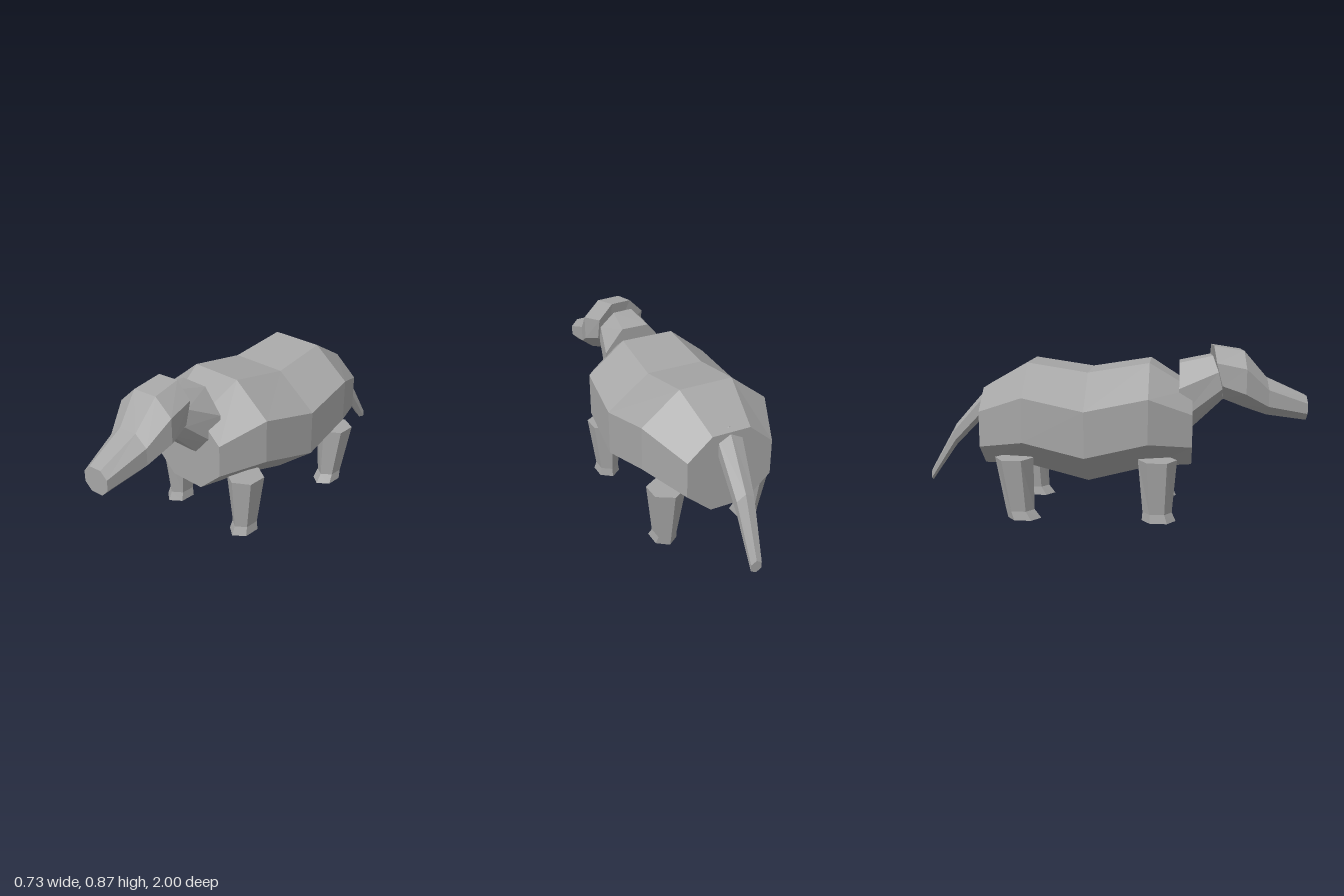
import * as THREE from 'three';

const hide = new THREE.MeshStandardMaterial({ color: 0xa6a6a6, flatShading: true });
hide.name = 'grey hide';

// Skin between closed rings, first ring facing outward, with flat caps at both ends
function loft(name, rings) {
  const pos = [];
  const tri = (a, b, c) => pos.push(...a, ...b, ...c);
  const n = rings[0].length;
  for (let r = 0; r < rings.length - 1; r++) {
    const a = rings[r], b = rings[r + 1];
    for (let i = 0; i < n; i++) {
      const j = (i + 1) % n;
      tri(a[i], b[i], b[j]);
      tri(a[i], b[j], a[j]);
    }
  }
  const first = rings[0], last = rings[rings.length - 1];
  for (let i = 1; i < n - 1; i++) {
    tri(first[0], first[i], first[i + 1]);
    tri(last[0], last[i + 1], last[i]);
  }
  const geo = new THREE.BufferGeometry();
  geo.setAttribute('position', new THREE.Float32BufferAttribute(pos, 3));
  geo.computeVertexNormals();
  const mesh = new THREE.Mesh(geo, hide);
  mesh.name = name;
  return mesh;
}

// Eight-sided section: heights and depths run bottom, lower side, upper side, top
function octagon(cx, halfBottom, halfSide, halfTop, ys, zs, yaw = 0) {
  const z = Array.isArray(zs) ? zs : [zs, zs, zs, zs];
  const half = [halfBottom, halfSide, halfSide, halfTop];
  const point = (k, s) => [cx + s * half[k], ys[k], z[k] - yaw * s * half[k]];
  return [0, 1, 2, 3].map(k => point(k, 1)).concat([3, 2, 1, 0].map(k => point(k, -1)));
}

// Six-sided upright section with a corner at top and bottom
function hexSection(cx, cy, z, rx, ry) {
  return Array.from({ length: 6 }, (_, i) => {
    const t = i * Math.PI / 3;
    return [cx - rx * Math.sin(t) / 0.866, cy + ry * Math.cos(t), z];
  });
}

// Six-sided level section with a corner at front and back
function legSection(cx, y, cz, rx, rz) {
  return Array.from({ length: 6 }, (_, i) => {
    const t = i * Math.PI / 3;
    return [cx + rx * Math.sin(t) / 0.866, y, cz + rz * Math.cos(t)];
  });
}

export function createModel() {
  const model = new THREE.Group();
  model.name = 'animal';

  // Barrel body with a dip in the middle of the back
  model.add(loft('body', [
    octagon(0, 0.097, 0.23, 0.1, [0.263, 0.38, 0.543, 0.655], 0.41),
    octagon(0, 0.14, 0.336, 0.14, [0.258, 0.412, 0.635, 0.79], 0.193),
    octagon(0, 0.155, 0.367, 0.15, [0.183, 0.345, 0.575, 0.74], -0.117),
    octagon(0, 0.14, 0.336, 0.14, [0.258, 0.412, 0.635, 0.787], -0.425),
    octagon(0, 0.097, 0.225, 0.1, [0.255, 0.365, 0.545, 0.65], -0.665),
  ]));

  // Neck rising out of the chest
  model.add(loft('neck', [
    octagon(0, 0.055, 0.13, 0.055, [0.6, 0.66, 0.745, 0.82], [0.56, 0.545, 0.525, 0.505], 0.1),
    octagon(0, 0.075, 0.175, 0.075, [0.39, 0.5, 0.665, 0.785], 0.342),
  ]));

  // Head tapering to a blunt snout, turned a little to its left
  model.add(loft('head', [
    octagon(0.052, 0.033, 0.07, 0.033, [0.483, 0.52, 0.573, 0.609], 0.995, 0.1),
    octagon(0.03, 0.047, 0.11, 0.048, [0.515, 0.565, 0.65, 0.705], 0.785, 0.1),
    octagon(0.015, 0.065, 0.155, 0.065, [0.56, 0.635, 0.762, 0.845], 0.662, 0.1),
    octagon(0.005, 0.056, 0.135, 0.056, [0.6, 0.675, 0.79, 0.87], [0.56, 0.545, 0.515, 0.51], 0.1),
  ]));

  // Tail hanging down and curving slightly sideways
  model.add(loft('tail', [
    hexSection(0.0, 0.6, -0.64, 0.065, 0.068),
    hexSection(0.03, 0.378, -0.85, 0.046, 0.056),
    hexSection(0.054, 0.145, -1.0, 0.028, 0.032),
  ]));

  // Four legs with flared feet: top, ankle and sole depths
  const legs = [
    ['frontLeg', 0.239, 0.24, 0.236],
    ['hindLeg', -0.485, -0.46, -0.45],
  ];
  for (const [name, top, ankle, sole] of legs) {
    for (const side of [1, -1]) {
      model.add(loft((side > 0 ? 'left ' : 'right ') + name, [
        legSection(side * 0.24, 0.317, top, 0.082, 0.098),
        legSection(side * 0.237, 0.045, ankle, 0.05, 0.074),
        legSection(side * 0.237, 0, sole + 0.012, 0.057, 0.086),
      ]));
    }
  }
  return model;
}
